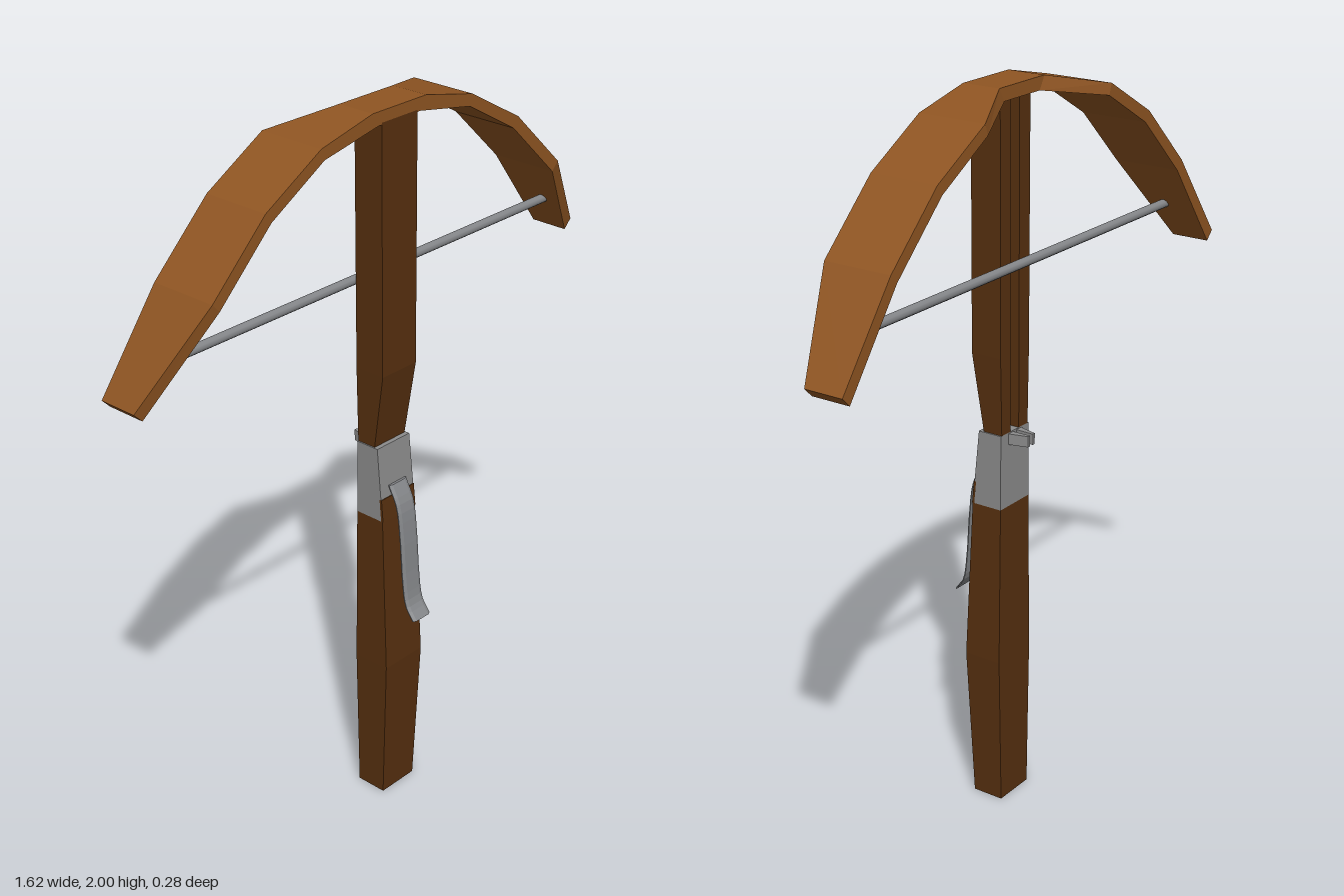
import * as THREE from 'three';

const material = (name, color) => {
  const m = new THREE.MeshStandardMaterial({ color });
  m.name = name;
  return m;
};

// Flat-faced solid through equal-sized rings of [x, y, z]; each cap is a list of convex polygons.
function loft(rings, caps = [rings[0].map((_, i) => i)]) {
  const pos = [];
  const tri = (a, b, c) => pos.push(...a, ...b, ...c);
  const n = rings[0].length;
  for (let k = 0; k < rings.length - 1; k++) {
    const lo = rings[k], hi = rings[k + 1];
    for (let i = 0; i < n; i++) {
      const j = (i + 1) % n;
      tri(lo[i], hi[i], hi[j]);
      tri(lo[i], hi[j], lo[j]);
    }
  }
  const first = rings[0], last = rings[rings.length - 1];
  for (const p of caps) {
    for (let i = 1; i < p.length - 1; i++) {
      tri(first[p[0]], first[p[i]], first[p[i + 1]]);
      tri(last[p[0]], last[p[i + 1]], last[p[i]]);
    }
  }
  const g = new THREE.BufferGeometry();
  g.setAttribute('position', new THREE.Float32BufferAttribute(pos, 3));
  g.computeVertexNormals();
  return g;
}

// Horizontal rectangular section
const rect = (y, w, back, front) => [[-w, y, back], [w, y, back], [w, y, front], [-w, y, front]];

export function createModel() {
  const group = new THREE.Group();
  const darkWood = material('dark wood', 0x57300f);
  const lightWood = material('light wood', 0x8f5522);
  const metal = material('metal', 0x8c8c8c);
  const steel = material('steel', 0x85878a);

  const add = (name, geometry, mat) => {
    const mesh = new THREE.Mesh(geometry, mat);
    mesh.name = name;
    group.add(mesh);
    return mesh;
  };
  const BACK = -0.035;

  // Grip
  add('grip', loft([
    rect(0, 0.062, BACK, 0.055),
    rect(0.43, 0.071, BACK, 0.075),
    rect(0.88, 0.064, BACK, 0.055),
  ]), darkWood);

  // Metal housing, with the grip's wood lapping its front
  add('housing', loft([
    rect(0.88, 0.064, BACK, 0.055),
    rect(1.088, 0.062, BACK, 0.035),
  ]), metal);
  add('gripLap', loft([
    rect(0.88, 0.064, 0.05, 0.057),
    rect(0.943, 0.0635, 0.044, 0.051),
  ]), darkWood);

  // Upper stock with a bolt groove along the back
  const grooved = (y, w, front) => {
    const g = 0.018, floor = BACK + 0.03;
    return [[-w, BACK], [-g, BACK], [-g, floor], [g, floor], [g, BACK], [w, BACK], [w, front], [-w, front]]
      .map(([x, z]) => [x, y, z]);
  };
  add('stock', loft(
    [grooved(1.088, 0.058, 0.022), grooved(1.3, 0.063, 0.055), grooved(1.97, 0.064, 0.053)],
    [[0, 1, 2, 7], [2, 3, 6, 7], [3, 4, 5, 6]],
  ), darkWood);

  // Bow limbs: outer x, y, inner x, y, back z, front z for one half, mirrored
  const half = [
    [0.095, 2.0, 0.075, 1.965, -0.055, 0.053],
    [0.27, 1.96, 0.26, 1.93, -0.14, 0.053],
    [0.455, 1.855, 0.437, 1.828, -0.14, 0.053],
    [0.63, 1.688, 0.608, 1.664, -0.14, 0.053],
    [0.81, 1.45, 0.785, 1.425, -0.14, -0.03],
  ];
  const bowRing = (s) => ([ox, oy, ix, iy, back, front]) => [
    [s * ox, oy, front], [s * ox, oy, back], [s * ix, iy, back], [s * ix, iy, front],
  ];
  add('bow', loft([...half.slice().reverse().map(bowRing(-1)), ...half.map(bowRing(1))]), lightWood);

  // String
  const string = add('string', new THREE.CylinderGeometry(0.0125, 0.0125, 1.44, 10), steel);
  string.rotation.z = Math.PI / 2;
  string.position.set(0, 1.537, -0.047);

  // Two-pronged string catch
  for (const s of [-1, 1]) {
    const prong = new THREE.Shape([[0.008, 0.03], [0.03, 0.03], [0.015, 0.088], [0.006, 0.088]]
      .map(([x, d]) => new THREE.Vector2(s * x, d)));
    const catchGeo = new THREE.ExtrudeGeometry(prong, { depth: 0.03, bevelEnabled: false });
    catchGeo.rotateX(-Math.PI / 2);
    add(s > 0 ? 'catchLeft' : 'catchRight', catchGeo, metal).position.y = 1.055;
  }

  // Trigger lever: thin curved strip with chamfered front edges
  const curve = new THREE.CatmullRomCurve3([
    [0.138, 0.59], [0.112, 0.628], [0.1, 0.7], [0.09, 0.83], [0.077, 0.92], [0.05, 0.975],
  ].map(([z, y]) => new THREE.Vector3(0, y, z)));
  const w = 0.033;
  add('trigger', loft(curve.getPoints(16).map(({ y, z }) => [
    [-w, y, z - 0.003], [w, y, z - 0.003], [w, y, z], [0.7 * w, y, z + 0.004], [-0.7 * w, y, z + 0.004], [-w, y, z],
  ])), steel);

  return group;
}
